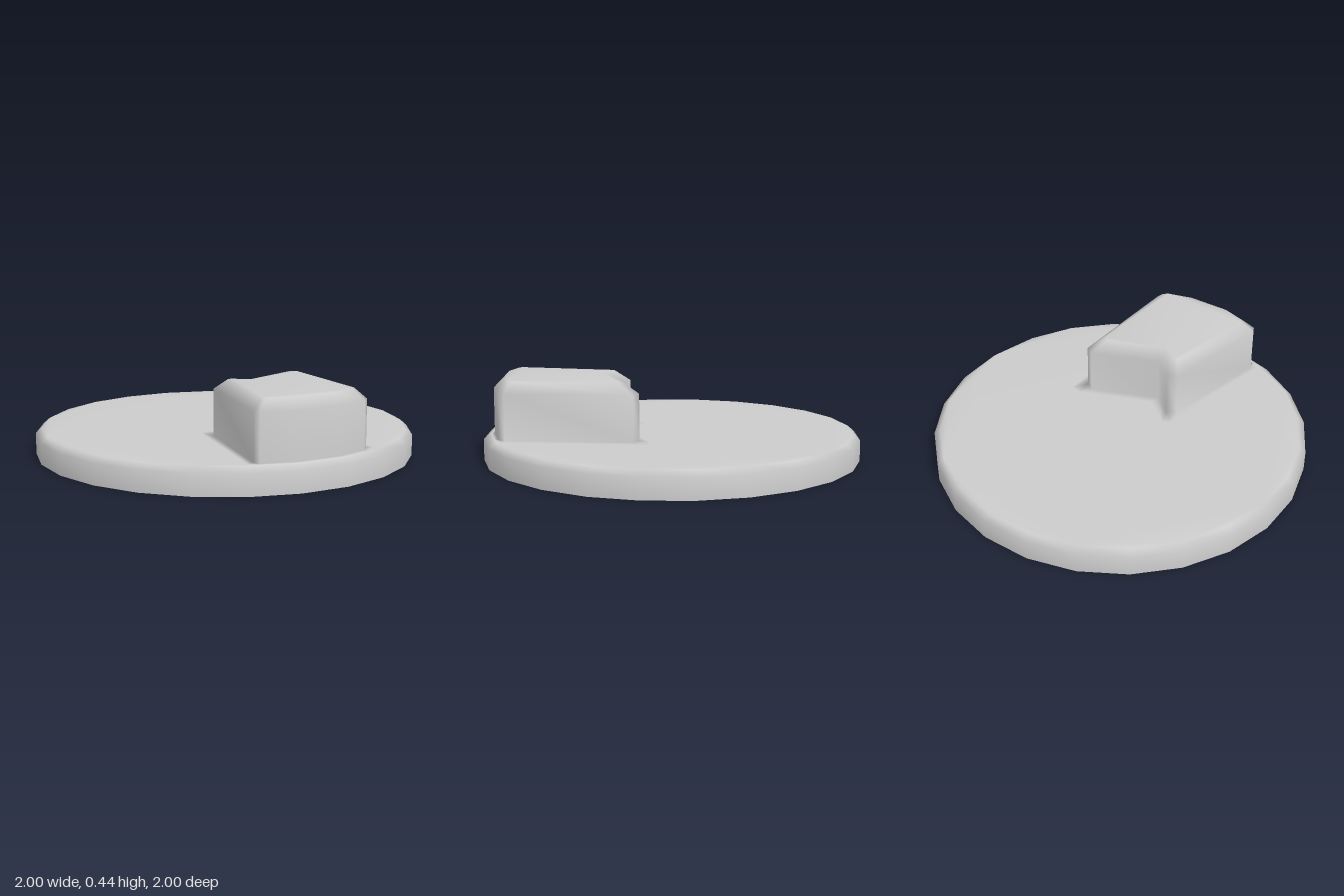
import * as THREE from 'three';
import { mergeGeometries, mergeVertices } from 'three/addons/utils/BufferGeometryUtils.js';

// Band of quads through closed loops of [x, z] points, each loop at its own height
function loft(loops) {
  const n = loops[0].points.length;
  const pos = [], idx = [];
  loops.forEach(({ points, y }) => points.forEach(([x, z]) => pos.push(x, y, z)));
  for (let k = 0; k < loops.length - 1; k++) {
    for (let i = 0; i < n; i++) {
      const a = k * n + i, b = k * n + (i + 1) % n;
      idx.push(a, a + n, b + n, a, b + n, b);
    }
  }
  const g = new THREE.BufferGeometry();
  g.setAttribute('position', new THREE.Float32BufferAttribute(pos, 3));
  g.setIndex(idx);
  return g;
}

// Flat upward face bounded by a loop, with an optional hole
function flatFace(points, y, hole) {
  const toVec = ([x, z]) => new THREE.Vector2(x, -z);
  const shape = new THREE.Shape(points.map(toVec));
  if (hole) shape.holes.push(new THREE.Path(hole.map(toVec)));
  const g = new THREE.ShapeGeometry(shape);
  g.rotateX(-Math.PI / 2).translate(0, y, 0);
  g.deleteAttribute('normal');
  g.deleteAttribute('uv');
  return g;
}

function smoothMesh(name, parts) {
  const g = mergeVertices(mergeGeometries(parts), 1e-4);
  g.computeVertexNormals();
  const mat = new THREE.MeshStandardMaterial({ color: 0xcccccc, side: THREE.DoubleSide });
  const mesh = new THREE.Mesh(g, mat);
  mesh.name = name;
  return mesh;
}

const ring = (r, sides = 24) => Array.from({ length: sides }, (_, i) => {
  const a = (i / sides) * Math.PI * 2;
  return [r * Math.cos(a), r * Math.sin(a)];
});

export function createModel() {
  const group = new THREE.Group();
  group.name = 'discWithBlock';
  const deckY = 0.14;

  // Block outlines: flat skirt on the deck, upright wall, inset top
  const skirt = [[-0.2, 0.19], [-0.155, 0.165], [0, 0.26], [0.36, 0.055], [0.42, 0.06], [0.475, 0.8],
    [0.41, 0.86], [0.25, 0.925], [0, 0.958], [-0.195, 0.93], [-0.235, 0.9]];
  const wall = [[-0.165, 0.275], [-0.115, 0.245], [0, 0.31], [0.325, 0.12], [0.375, 0.145], [0.435, 0.8],
    [0.4, 0.845], [0.24, 0.91], [0, 0.945], [-0.18, 0.92], [-0.2, 0.89]];
  const top = [[-0.11, 0.335], [-0.09, 0.325], [0, 0.375], [0.29, 0.215], [0.32, 0.23], [0.375, 0.775],
    [0.355, 0.8], [0.225, 0.857], [0, 0.89], [-0.13, 0.87], [-0.14, 0.85]];

  // Hollow disc, open underneath, with a bevelled rim
  const deckEdge = ring(0.965);
  group.add(smoothMesh('disc', [
    loft([
      { points: ring(1), y: 0 },
      { points: ring(1), y: 0.11 },
      { points: deckEdge, y: deckY },
    ]),
    flatFace(deckEdge, deckY, skirt),
  ]));

  // Hollow raised block with a notched back and bevelled top
  group.add(smoothMesh('raisedBlock', [
    loft([
      { points: skirt, y: deckY },
      { points: wall, y: deckY },
      { points: wall, y: 0.385 },
      { points: top, y: 0.44 },
    ]),
    flatFace(top, 0.44),
  ]));

  return group;
}
